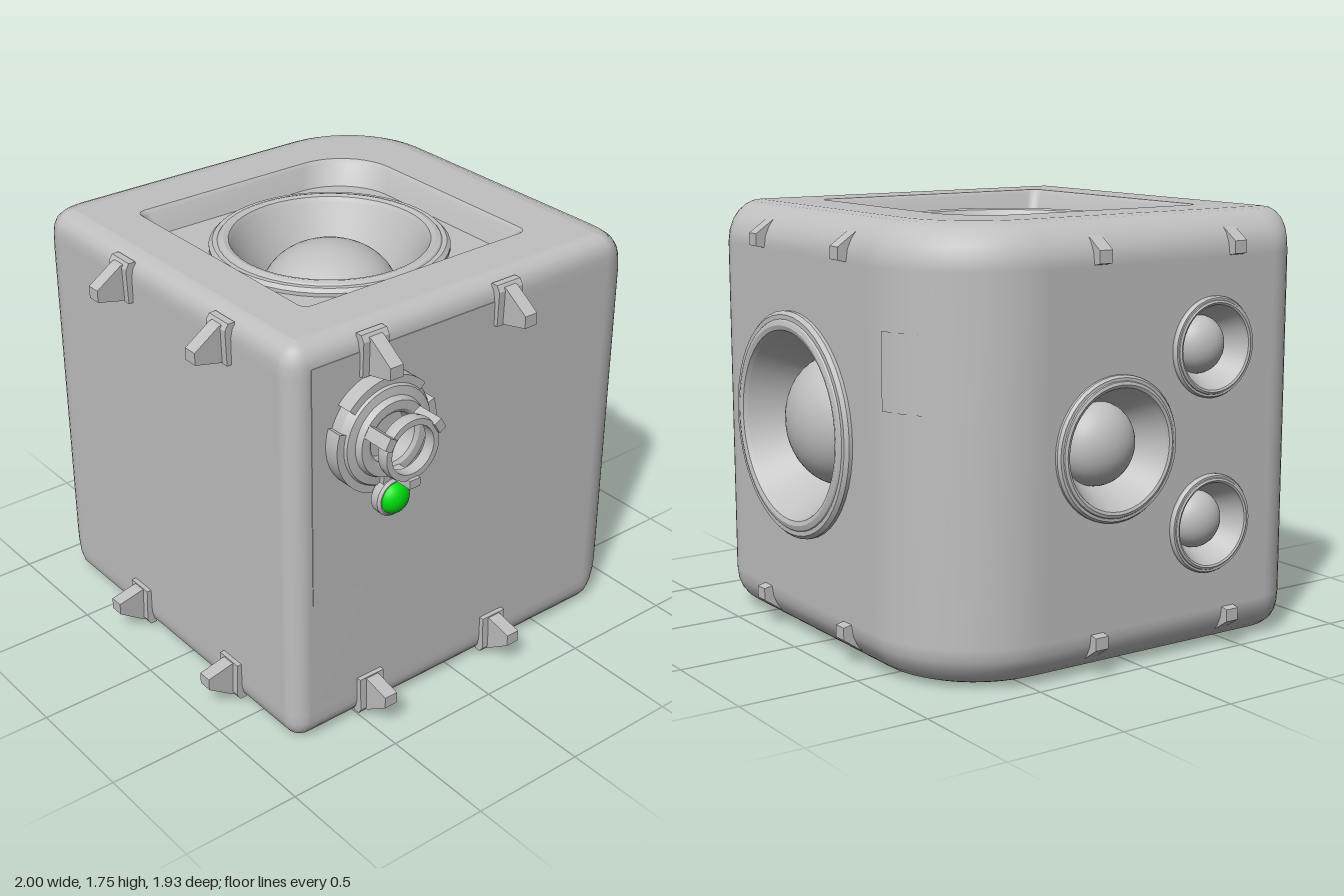
import * as THREE from 'three';
import { toCreasedNormals } from 'three/addons/utils/BufferGeometryUtils.js';

const grey = new THREE.MeshStandardMaterial({ color: 0xc0c0c0, side: THREE.DoubleSide });
grey.name = 'light grey casing';
const green = new THREE.MeshStandardMaterial({ color: 0x00e010 });
green.name = 'green lamp';

const H = 1.75, BIG = 0.17, SMALL = 0.08, SEG = 10;

function add(parent, name, geometry, material = grey) {
  const mesh = new THREE.Mesh(geometry, material);
  mesh.name = name;
  parent.add(mesh);
  return mesh;
}

function group(parent, name) {
  const g = new THREE.Group();
  g.name = name;
  parent.add(g);
  return g;
}

// Rounded rectangle in x and z; corners: front +x, front -x, back -x, back +x, each [rx, rz]
function outline(x0, x1, z0, z1, radii) {
  const pts = [];
  const signs = [[1, 1], [-1, 1], [-1, -1], [1, -1]];
  signs.forEach(([sx, sz], c) => {
    const rx = Math.max(radii[c][0], 0.01), rz = Math.max(radii[c][1], 0.01);
    const cx = sx > 0 ? x1 - rx : x0 + rx, cz = sz > 0 ? z1 - rz : z0 + rz;
    for (let i = 0; i <= SEG; i++) {
      const t = (c + i / SEG) * Math.PI / 2;
      pts.push([cx + rx * Math.cos(t), cz + rz * Math.sin(t)]);
    }
  });
  return pts;
}

// Skin stacked rings [points, height]; quads for which skip(ring, point) holds are left open
function loft(rings, skip = () => false) {
  const n = rings[0][0].length, pos = [], all = [], kept = [];
  rings.forEach(([pts, y]) => pts.forEach(([x, z]) => pos.push(x, y, z)));
  for (let j = 0; j < rings.length - 1; j++) {
    for (let i = 0; i < n; i++) {
      const a = j * n + i, b = j * n + (i + 1) % n, c = b + n, d = a + n;
      all.push(a, d, b, b, d, c);
      if (!skip(j, i)) kept.push(a, d, b, b, d, c);
    }
  }
  const g = new THREE.BufferGeometry();
  g.setAttribute('position', new THREE.Float32BufferAttribute(pos, 3));
  g.setIndex(all);
  g.computeVertexNormals();
  g.setIndex(kept);
  return g;
}

function bodyRing(d) {
  const inset = r => (d < r ? r - Math.sqrt(r * r - (r - d) ** 2) : 0);
  const a = inset(BIG), b = inset(SMALL);
  return outline(-0.97 + a, 0.77 - b, -0.93 + a, 0.82 - b,
    [[SMALL - b, SMALL - b], [BIG - a, BIG - b], [0.48 - a, 0.48 - a], [BIG - b, BIG - a]]);
}

function recessRing(s) {
  const r = 0.04;
  return outline(-0.61 + s, 0.51 - s, -0.56 + s, 0.56 - s, [[r, r], [r, r], [0.26, 0.26], [r, r]]);
}

function shapeOf(points, holes = []) {
  const s = new THREE.Shape(points.map(p => new THREE.Vector2(...p)));
  s.holes.push(...holes);
  return s;
}

function circle(x, y, r) {
  return new THREE.Path().absarc(x, y, r, 0, Math.PI * 2, true);
}

// Turned part whose axis is z
function turned(profile, sharp = true) {
  const g = new THREE.LatheGeometry(profile.map(p => new THREE.Vector2(...p)), 48);
  g.rotateX(Math.PI / 2);
  return sharp ? toCreasedNormals(g, 0.5) : g;
}

// Loudspeaker facing local +z, with its mounting plane at z = 0
function speaker(parent, x, y, R) {
  const g = group(parent, 'speaker');
  g.position.set(x, y, 0);
  const k = R / 0.49;
  const scale = a => a.map(([r, h]) => [r * k, h * Math.sqrt(k)]);
  add(g, 'speakerRim', turned(scale([[0.49, -0.01], [0.49, 0.015], [0.475, 0.03], [0.455, 0.03],
    [0.45, 0.036], [0.43, 0.042], [0.41, 0.036], [0.4, 0.02]])));
  add(g, 'speakerCone', turned([[0.4 * k, 0.02 * Math.sqrt(k)], [0.275 * k, -0.22 * k]]));
  const dome = [];
  for (let i = 0; i <= 12; i++) {
    const t = i / 12 * Math.PI / 2;
    dome.push([0.285 * k * Math.cos(t), k * (-0.22 + 0.22 * Math.sin(t))]);
  }
  add(g, 'speakerDome', turned(dome, false));
}

// Flat wall with speakers [u, v, radius] let into it
function speakerWall(parent, name, u0, u1, speakers) {
  const g = group(parent, name);
  const holes = speakers.map(([u, v, r]) => circle(u, v, r * 0.95));
  const corners = [[u0, BIG], [u1, BIG], [u1, H - BIG], [u0, H - BIG]];
  add(g, name + 'Panel', new THREE.ShapeGeometry(shapeOf(corners, holes), 32));
  speakers.forEach(s => speaker(g, ...s));
  return g;
}

// Top (s = 1) or bottom (s = -1): face, sloping recess and speaker
function endFace(parent, s) {
  const g = group(parent, s > 0 ? 'topFace' : 'bottomFace');
  g.rotation.x = -s * Math.PI / 2;
  g.position.y = s > 0 ? H : 0;
  const flat = pts => pts.map(([x, z]) => [x, -s * z]);
  const rim = recessRing(0), floor = recessRing(0.05);
  add(g, 'facePlate', new THREE.ShapeGeometry(shapeOf(flat(bodyRing(0)), [new THREE.Path(shapeOf(flat(rim)).getPoints())])));
  const wall = loft([[flat(rim), 0], [flat(recessRing(0.015)), -0.015], [flat(floor), -0.1]]);
  // loft heights run along y, here turned to local z
  wall.rotateX(Math.PI / 2).scale(1, -1, 1).scale(1, -1, -1);
  const p = wall.attributes.position;
  for (let i = 0; i < p.count; i++) {
    const j = i % rim.length, ring = [rim, recessRing(0.015), floor][Math.floor(i / rim.length)];
    p.setXYZ(i, ring[j][0], -s * ring[j][1], [0, -0.015, -0.1][Math.floor(i / rim.length)]);
  }
  wall.computeVertexNormals();
  add(g, 'recessWall', wall);
  const f = add(g, 'recessFloor', new THREE.ShapeGeometry(shapeOf(flat(floor), [circle(-0.05, 0, 0.46)]), 32));
  f.position.z = -0.1;
  const holder = group(g, 'recessSpeaker');
  holder.position.z = -0.1;
  speaker(holder, -0.05, 0, 0.49);
}

// Edge clip pointing along local +x; s = 1 near the top, -1 near the bottom
function clip(parent, x, z, angle, s) {
  const g = group(parent, 'edgeClip');
  g.position.set(x, H / 2, z);
  g.rotation.y = angle;
  const prism = (name, pts, width) => {
    const geo = new THREE.ExtrudeGeometry(shapeOf(pts.map(([a, b]) => [a, s * b])),
      { depth: width, bevelEnabled: false });
    add(g, name, geo.translate(0, 0, -width / 2));
  };
  prism('clipFin', [[-0.02, 0.69], [0.03, 0.69], [0.14, 0.715], [0.14, 0.765], [0.03, 0.84], [-0.02, 0.85]], 0.06);
  prism('clipPlate', [[-0.02, 0.685], [0.02, 0.685], [0.025, 0.83], [0.01, 0.855], [-0.02, 0.855]], 0.12);
}

// Round socket with a clawed ring and a lamp below
function socket(parent) {
  const g = group(parent, 'sideSocket');
  g.position.set(0.77, 1.32, 0.43);
  g.rotation.y = Math.PI / 2;
  add(g, 'socketFlange', turned([[0.22, -0.01], [0.22, 0.05], [0.2, 0.08], [0.165, 0.085],
    [0.155, 0.11], [0.12, 0.11], [0.105, 0.1], [0.1, 0.04], [0, 0.04]]));
  add(g, 'socketRing', turned([[0.1, 0.165], [0.125, 0.165], [0.13, 0.19], [0.125, 0.215], [0.1, 0.215], [0.1, 0.165]]));
  for (let i = 0; i < 3; i++) {
    const mid = Math.PI / 2 + i * Math.PI * 2 / 3;
    const arc = new THREE.Shape().absarc(0, 0, 0.238, mid - 0.85, mid + 0.85, false);
    arc.absarc(0, 0, 0.195, mid + 0.85, mid - 0.85, true);
    add(g, 'flangeTab', new THREE.ExtrudeGeometry(arc, { depth: 0.07, bevelEnabled: false, curveSegments: 16 }));
    const arm = group(g, 'ringArm');
    arm.rotation.z = mid + Math.PI / 3;
    add(arm, 'armPost', new THREE.BoxGeometry(0.035, 0.05, 0.14)).position.set(0.135, 0, 0.16);
  }
  add(g, 'lampStem', new THREE.BoxGeometry(0.09, 0.12, 0.04)).position.set(0, -0.19, 0.085);
  const lamp = group(g, 'lampUnit');
  lamp.position.set(0, -0.25, 0);
  add(lamp, 'lampHousing', turned([[0, 0.065], [0.07, 0.065], [0.08, 0.075], [0.08, 0.11], [0.07, 0.12], [0, 0.12]]));
  const bulb = add(lamp, 'lamp', new THREE.SphereGeometry(0.067, 24, 16), green);
  bulb.position.z = 0.11;
  bulb.scale.z = 0.75;
}

export function createModel() {
  const model = new THREE.Group();
  model.name = 'speakerCube';

  // Casing shell, open where the two speaker walls go
  const drops = [0, 0.006, 0.02, 0.045, SMALL, 0.12, BIG];
  const rings = [...drops.map(d => [bodyRing(d), d]),
    ...drops.slice().reverse().map(d => [bodyRing(d), H - d])];
  const n = SEG + 1, middle = drops.length - 1;
  add(model, 'casing', loft(rings, (j, i) => j === middle && (i === 2 * n - 1 || i === 3 * n - 1)));
  endFace(model, 1);
  endFace(model, -1);

  const side = speakerWall(model, 'sideWall', -0.45, 0.65,
    [[-0.13, 0.88, 0.285], [0.34, 1.23, 0.2], [0.34, 0.525, 0.2]]);
  side.position.x = -0.97;
  side.rotation.y = -Math.PI / 2;
  const back = speakerWall(model, 'backWall', -0.6, 0.49, [[-0.09, 0.89, 0.46]]);
  back.position.z = -0.93;
  back.rotation.y = Math.PI;

  // Clips on all four sides, top and bottom
  for (const s of [1, -1]) {
    for (const x of [-0.31, 0.35]) {
      clip(model, x, 0.82, -Math.PI / 2, s);
      clip(model, x, -0.825, Math.PI / 2, s);
    }
    for (const z of [-0.21, 0.45]) {
      clip(model, 0.77, z, 0, s);
      clip(model, -0.86, z, Math.PI, s);
    }
  }

  // Thin covers on the side and on the rounded corner
  add(model, 'sideCover', new THREE.BoxGeometry(0.006, 1.02, 0.95)).position.set(0.77, 1.15, 0.255);
  const cover = new THREE.CylinderGeometry(0.483, 0.483, 0.3, 10, 1, true, Math.PI * 1.06, Math.PI * 0.22);
  add(model, 'cornerCover', cover).position.set(-0.49, 1.2, -0.45);

  socket(model);
  return model;
}
